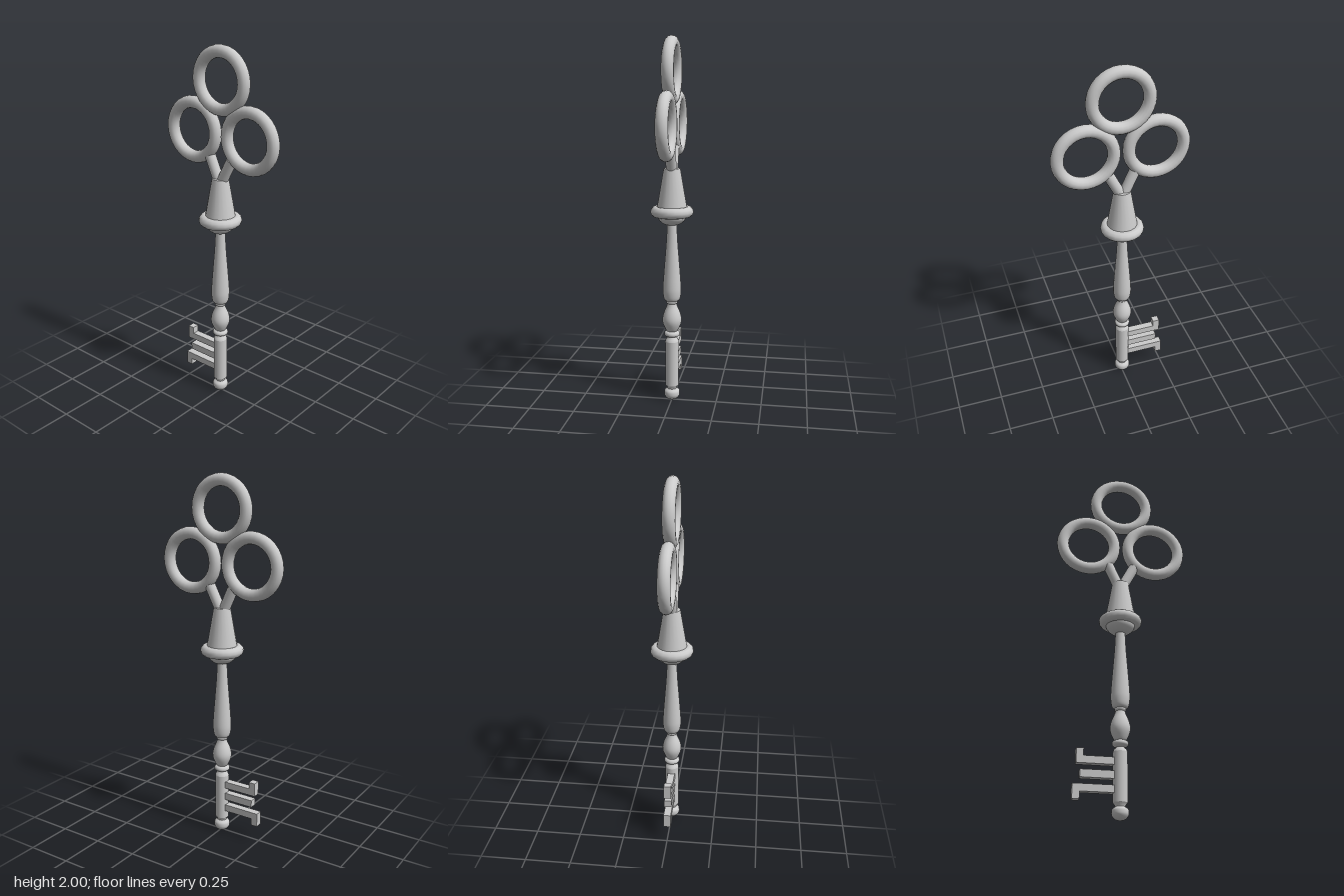
import * as THREE from 'three';

const SEGMENTS = 20;
const AXIS_X = -0.004;

export function createModel() {
  const key = new THREE.Group();
  key.name = 'key';
  const material = new THREE.MeshStandardMaterial({ color: 0xcccccc });

  const add = (name, geometry, x = 0, y = 0, z = 0) => {
    const mesh = new THREE.Mesh(geometry, material);
    mesh.name = name;
    mesh.position.set(x, y, z);
    key.add(mesh);
    return mesh;
  };

  // Turned part from [radius, height] pairs, bottom to top; curved ones pass through a spline
  const turned = (name, profile, smooth = 0) => {
    let points = profile.map(([r, y]) => new THREE.Vector2(r, y));
    if (smooth) points = new THREE.SplineCurve(points).getPoints(smooth);
    points.forEach((p) => { p.x = Math.max(p.x, 0); });
    return add(name, new THREE.LatheGeometry(points, SEGMENTS), AXIS_X);
  };

  // Tip and lower rod
  turned('tipKnob', [[0, 0.003], [0.026, 0.01], [0.041, 0.027], [0.044, 0.042], [0.041, 0.058], [0.026, 0.07]], 14);
  turned('tipNeck', [[0.026, 0.065], [0.027, 0.077], [0.038, 0.092]]);
  turned('rod', [[0.038, 0.09], [0.038, 0.345]]);
  turned('rodShoulder', [[0.038, 0.345], [0.033, 0.358], [0.022, 0.368], [0.022, 0.38]]);
  turned('bead', [[0.022, 0.37], [0.038, 0.378], [0.043, 0.388], [0.038, 0.4], [0.022, 0.408]], 12);

  // Baluster bulb and tapered shaft
  turned('bulb', [[0.024, 0.4], [0.034, 0.412], [0.049, 0.445], [0.053, 0.475], [0.045, 0.51], [0.03, 0.545], [0.024, 0.565]], 18);
  turned('bulbCollar', [[0.024, 0.56], [0.031, 0.567], [0.031, 0.575], [0.02, 0.583]]);
  turned('shaft', [[0, 0.574], [0.03, 0.576], [0.044, 0.59], [0.05, 0.625], [0.05, 0.66], [0.046, 0.72],
    [0.038, 0.82], [0.031, 0.91], [0.026, 1.01]], 28);

  // Bell-shaped socket with its rolled rim
  turned('bellBase', [[0, 1.002], [0.038, 1.005], [0.06, 1.018], [0.075, 1.037], [0.08, 1.06]], 12);
  const rim = add('bellRim', new THREE.TorusGeometry(0.088, 0.029, 12, SEGMENTS), AXIS_X, 1.075);
  rim.rotation.x = Math.PI / 2;
  turned('bell', [[0.083, 1.07], [0.081, 1.1], [0.045, 1.308]]);
  turned('bellCap', [[0.045, 1.308], [0, 1.308]]);

  // Three bow rings
  const ring = new THREE.TorusGeometry(0.147, 0.033, 14, 32);
  add('topRing', ring, 0, 1.82);

  // Side rings and the struts carrying them
  for (const side of [-1, 1]) {
    const label = side > 0 ? 'left' : 'right';
    add(label + 'Ring', ring, side * 0.186, 1.54, -0.002);

    const start = new THREE.Vector3(side * 0.012 + AXIS_X, 1.295, 0);
    const end = new THREE.Vector3(side * 0.073, 1.42, 0);
    const direction = end.clone().sub(start);
    const strut = add(label + 'Strut', new THREE.CylinderGeometry(0.029, 0.029, direction.length(), 16));
    strut.position.copy(start).lerp(end, 0.5);
    strut.quaternion.setFromUnitVectors(new THREE.Vector3(0, 1, 0), direction.normalize());
  }

  // Bit: flat teeth drawn as outlines and given thickness
  const tooth = (name, corners) => {
    const shape = new THREE.Shape(corners.map(([x, y]) => new THREE.Vector2(x, y)));
    const geometry = new THREE.ExtrudeGeometry(shape, { depth: 0.04, bevelEnabled: false });
    add(name, geometry, 0, 0, -0.02);
  };
  tooth('upperTooth', [[-0.02, 0.276], [-0.02, 0.314], [-0.193, 0.314], [-0.193, 0.352], [-0.23, 0.352], [-0.23, 0.276]]);
  tooth('middleTooth', [[-0.02, 0.205], [-0.02, 0.245], [-0.21, 0.245], [-0.21, 0.205]]);
  tooth('lowerTooth', [[-0.02, 0.135], [-0.02, 0.173], [-0.247, 0.173], [-0.247, 0.097], [-0.21, 0.097], [-0.21, 0.135]]);

  return key;
}
